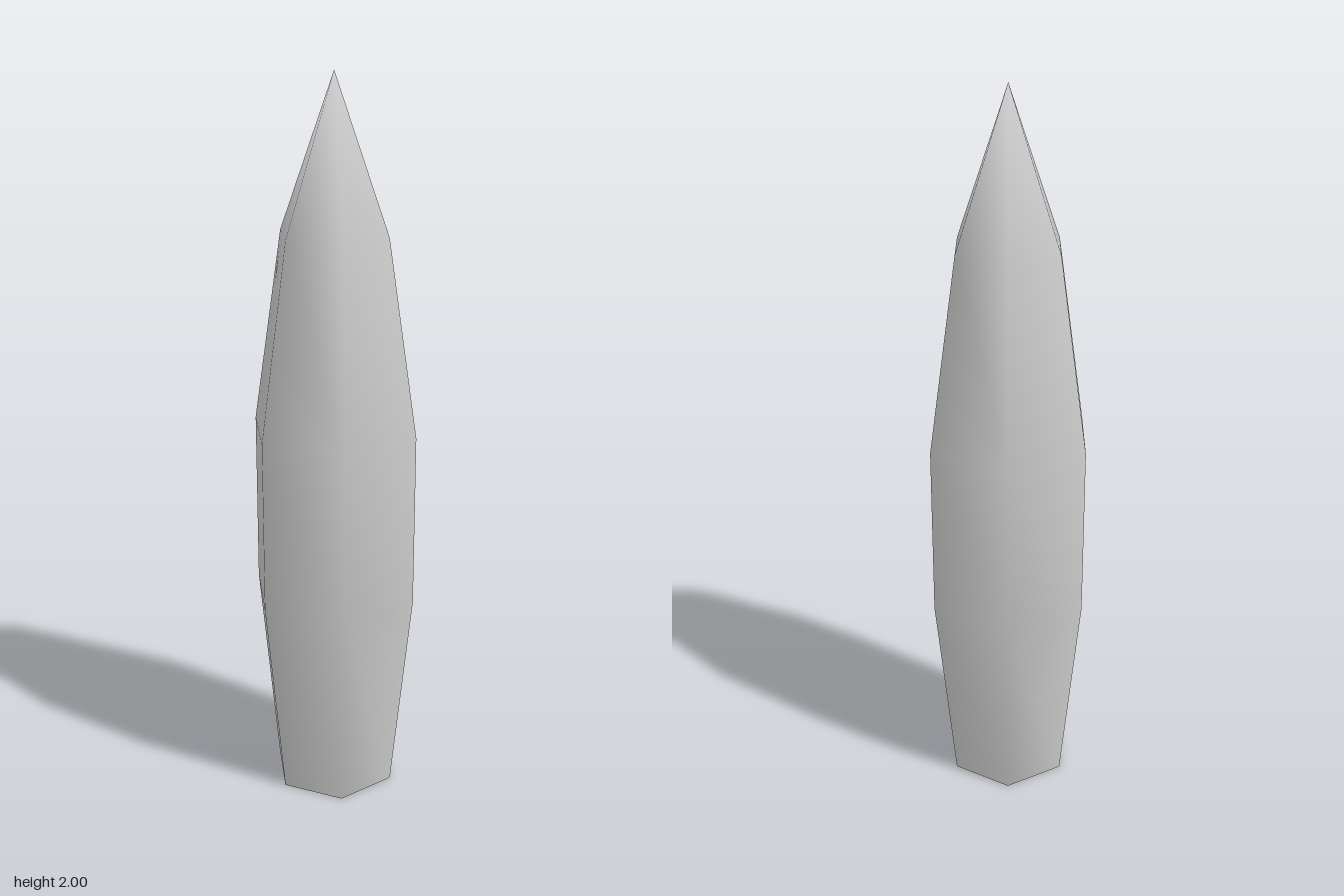
import * as THREE from 'three';
import { mergeVertices } from 'three/addons/utils/BufferGeometryUtils.js';

export function createModel() {
  const group = new THREE.Group();
  group.name = 'pointedShell';

  // Six-sided hollow body: tapered open base, straight waist, pointed tip
  const profile = [
    [0.177, 0],
    [0.237, 0.58],
    [0.237, 1.06],
    [0.154, 1.59],
    [0, 2],
  ].map(([r, y]) => new THREE.Vector2(r, y));

  // Weld the seam and the tip so the shading runs smoothly over all sides
  let geometry = new THREE.LatheGeometry(profile, 6);
  geometry.deleteAttribute('uv');
  geometry.deleteAttribute('normal');
  geometry = mergeVertices(geometry, 1e-4);
  geometry.computeVertexNormals();

  const shell = new THREE.Mesh(
    geometry,
    new THREE.MeshStandardMaterial({ color: 0xcccccc, side: THREE.DoubleSide })
  );
  shell.name = 'hexagonalShell';
  group.add(shell);
  return group;
}
